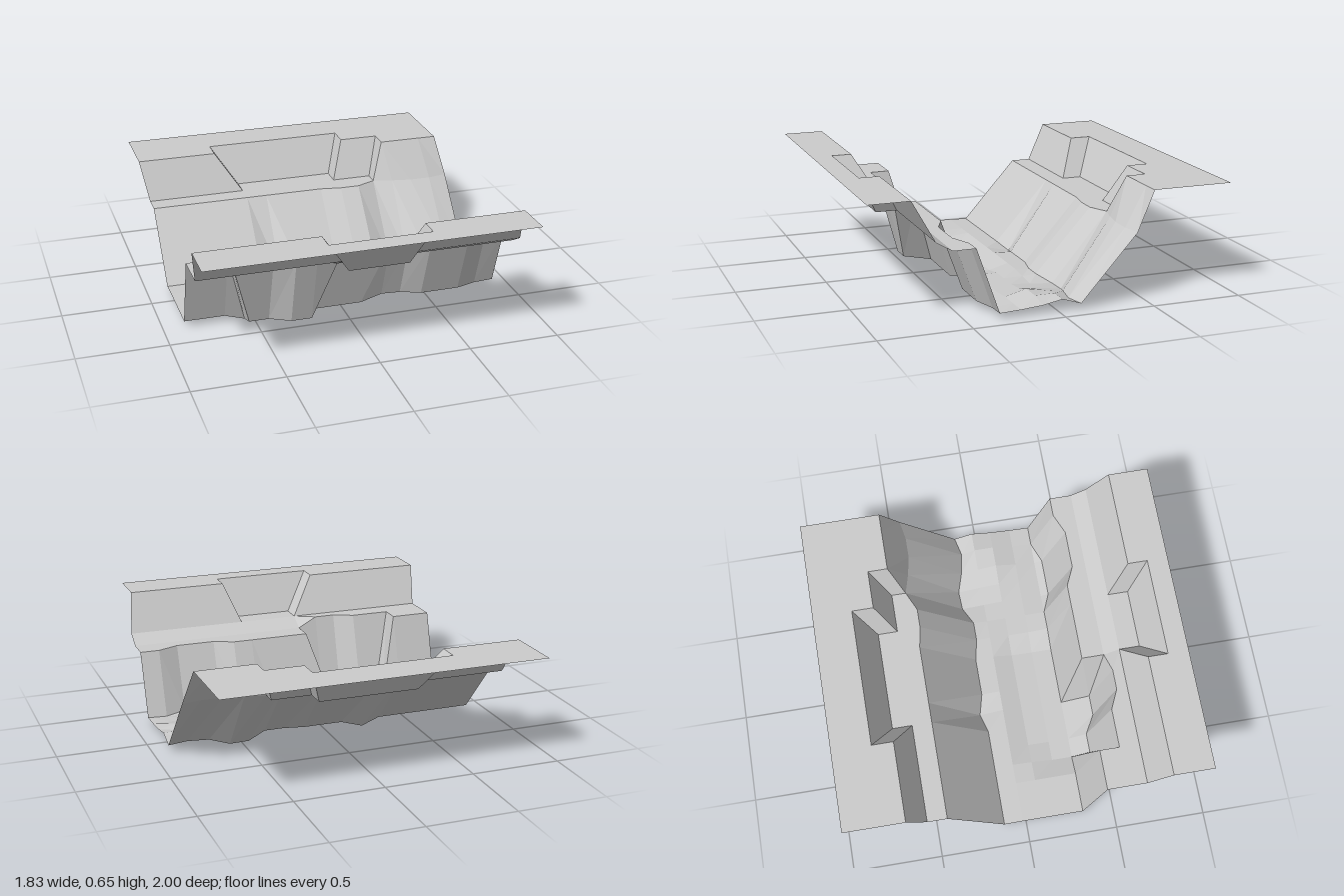
import * as THREE from 'three';

const material = new THREE.MeshStandardMaterial({ color: 0xcccccc, flatShading: true, side: THREE.DoubleSide });

// Loft between neighbouring polylines; repeated points make corner triangles.
function loft(name, ...rows) {
  const out = [];
  const tri = (...corners) => {
    const [a, b, c] = corners.map(p => new THREE.Vector3(...p));
    if (new THREE.Triangle(a, b, c).getArea() < 1e-6) return;
    for (const p of [a, b, c]) out.push(p.x, p.y, p.z);
  };
  for (let r = 0; r + 1 < rows.length; r++) {
    const f = rows[r], b = rows[r + 1];
    for (let i = 0; i + 1 < f.length; i++) {
      tri(f[i], f[i + 1], b[i]);
      tri(f[i + 1], b[i + 1], b[i]);
    }
  }
  const g = new THREE.BufferGeometry();
  g.setAttribute('position', new THREE.Float32BufferAttribute(out, 3));
  g.computeVertexNormals();
  const mesh = new THREE.Mesh(g, material);
  mesh.name = name;
  return mesh;
}

// Polyline at one height from x, z pairs, and a copy of a polyline moved to one z.
const level = (y, pts) => pts.map(([x, z]) => [x, y, z]);
const slide = (line, z, y) => line.map(p => [p[0], y ?? p[1], z]);

export function createModel() {
  const group = new THREE.Group();
  const frontTop = 0.655, frontShelf = 0.44, lowShelf = 0.39, backTop = 0.595, backShelf = 0.385;

  // Front bank: upper lip and its foot, with a notch cut into the plateau
  const frontLip = level(frontTop, [[-0.92, 0.775], [-0.245, 0.775], [-0.245, 0.775], [-0.245, 0.885], [-0.135, 0.885],
    [0.205, 0.885], [0.315, 0.885], [0.315, 0.775], [0.315, 0.775], [0.875, 0.775]]);
  const frontFoot = level(frontShelf, [[-0.885, 0.66], [-0.215, 0.66], [-0.1, 0.66], [-0.1, 0.775], [-0.1, 0.775],
    [0.235, 0.775], [0.235, 0.775], [0.235, 0.66], [0.345, 0.66], [0.91, 0.66]]);
  group.add(loft('frontPlateau', slide(frontLip, 1), frontLip));
  group.add(loft('frontUpperSlope', frontLip, frontFoot));
  group.add(loft('frontNotchFloor', frontFoot, slide(frontFoot, 0.66)));

  // Front wall: rim and base, with a deep bay on the right
  const bayRim = level(frontShelf, [[-0.885, 0.44], [-0.66, 0.44], [-0.66, 0.44], [-0.66, 0.55], [-0.55, 0.55],
    [-0.44, 0.55], [-0.33, 0.6], [-0.215, 0.6]]);
  const lowRim = level(lowShelf, [[-0.1, 0.575], [-0.1, 0.45], [-0.1, 0.45], [0.13, 0.45], [0.24, 0.45], [0.35, 0.45],
    [0.46, 0.5], [0.68, 0.5], [0.8, 0.45], [0.91, 0.45]]);
  const frontBase = [[-0.885, 0.04, 0.325], [-0.66, 0.04, 0.325], [-0.55, 0.005, 0.325], [-0.55, 0.04, 0.43],
    [-0.55, 0.04, 0.43], [-0.44, 0.04, 0.43], [-0.33, 0.04, 0.49], [-0.215, 0.04, 0.49], [-0.215, 0.04, 0.49],
    [-0.215, 0.005, 0.325], [-0.1, 0.005, 0.325], [0.12, 0.005, 0.325], [0.24, 0.04, 0.325], [0.35, 0.035, 0.325],
    [0.46, 0.035, 0.37], [0.68, 0.035, 0.37], [0.8, 0.03, 0.325], [0.91, 0.035, 0.325]];
  group.add(loft('frontWall', [...bayRim, ...lowRim], frontBase));
  const bayEnd = [bayRim.at(-1), lowRim[0]];
  group.add(loft('bayShelf', slide([...bayRim, lowRim[0]], 0.66, frontShelf), [...bayRim, lowRim[0]].map(p => [...p])));
  group.add(loft('lowShelf', slide(lowRim, 0.66, frontShelf), slide(lowRim, 0.575), lowRim));

  // Valley floor: columns across, rows from front to back
  const xs = [-0.885, -0.66, -0.55, -0.44, -0.33, -0.215, -0.1, 0.01, 0.12, 0.24, 0.35, 0.46, 0.57, 0.68, 0.8, 0.91];
  const row = (z, ys) => xs.map((x, i) => [x, ys[i], z]);
  const dip = 0.005, mid = 0.04, bump = 0.07;
  const floorFront = row(0.325, [mid, mid, dip, dip, dip, dip, dip, dip, dip, mid, 0.035, 0.02, 0.02, 0.02, 0.03, 0.035]);
  const backZ = [-0.125, -0.125, -0.125, -0.125, -0.125, -0.155, -0.125, -0.125, -0.125, -0.1, -0.1, -0.15, -0.155, -0.12, -0.1, -0.125];
  const backBase = xs.map((x, i) => [x, backZ[i] < -0.14 ? 0.008 : 0.035, backZ[i]]);
  group.add(loft('valleyFloor', floorFront,
    row(0.21, [mid, mid, dip, dip, dip, dip, dip, dip, dip, 0.03, 0.03, 0.03, 0.03, mid, mid, mid]),
    row(0.09, [mid, mid, 0.03, 0.01, 0.01, 0.01, 0.01, 0.01, 0.01, 0.03, 0.03, 0.03, 0.04, bump, bump, 0.05]),
    row(-0.02, [mid, mid, mid, mid, mid, mid, mid, mid, mid, mid, 0.03, 0.02, 0.03, 0.05, bump, bump]),
    backBase));
  const floorY = x => {
    const i = Math.max(1, xs.findIndex(v => v >= x));
    return THREE.MathUtils.mapLinear(x, xs[i - 1], xs[i], floorFront[i - 1][1], floorFront[i][1]);
  };
  group.add(loft('bayFloor', frontBase, frontBase.map(([x]) => [x, floorY(x), 0.325])));

  // Back wall
  const rimZ = xs.map(x => x < 0.2 ? -0.44 : x < 0.4 ? -0.42 : x < 0.5 ? -0.47 : x < 0.6 ? -0.44 : x < 0.85 ? -0.42 : -0.44);
  const backRim = xs.map((x, i) => [x, backShelf, rimZ[i]]);
  group.add(loft('backWall', backBase, backRim));

  // Back bank: foot and lip, with a recess and a step meeting the wall rim
  const backFoot = level(backShelf, [[-0.885, -0.55], [-0.445, -0.55], [-0.33, -0.55], [-0.33, -0.66], [-0.33, -0.66],
    [0.235, -0.66], [0.235, -0.66], [0.235, -0.55], [0.345, -0.55], [0.46, -0.55], [0.46, -0.55], [0.46, -0.47],
    [0.57, -0.44], [0.68, -0.42], [0.8, -0.42], [0.91, -0.44]]);
  const backLip = level(backTop, [[-0.92, -0.66], [-0.47, -0.66], [-0.47, -0.66], [-0.47, -0.78], [-0.36, -0.78],
    [0.205, -0.78], [0.315, -0.78], [0.315, -0.66], [0.315, -0.66], [0.43, -0.66], [0.535, -0.66], [0.535, -0.55],
    [0.535, -0.55], [0.65, -0.55], [0.77, -0.55], [0.875, -0.55]]);
  const shelfRim = backRim.slice(0, 12);
  group.add(loft('backShelf', shelfRim, slide(shelfRim, -0.55)));
  const recess = backFoot.slice(0, 11);
  group.add(loft('backRecessFloor', slide(recess, -0.55), recess));
  group.add(loft('backUpperSlope', backFoot, backLip));
  group.add(loft('backPlateau', backLip, slide(backLip, -1)));

  return group;
}
